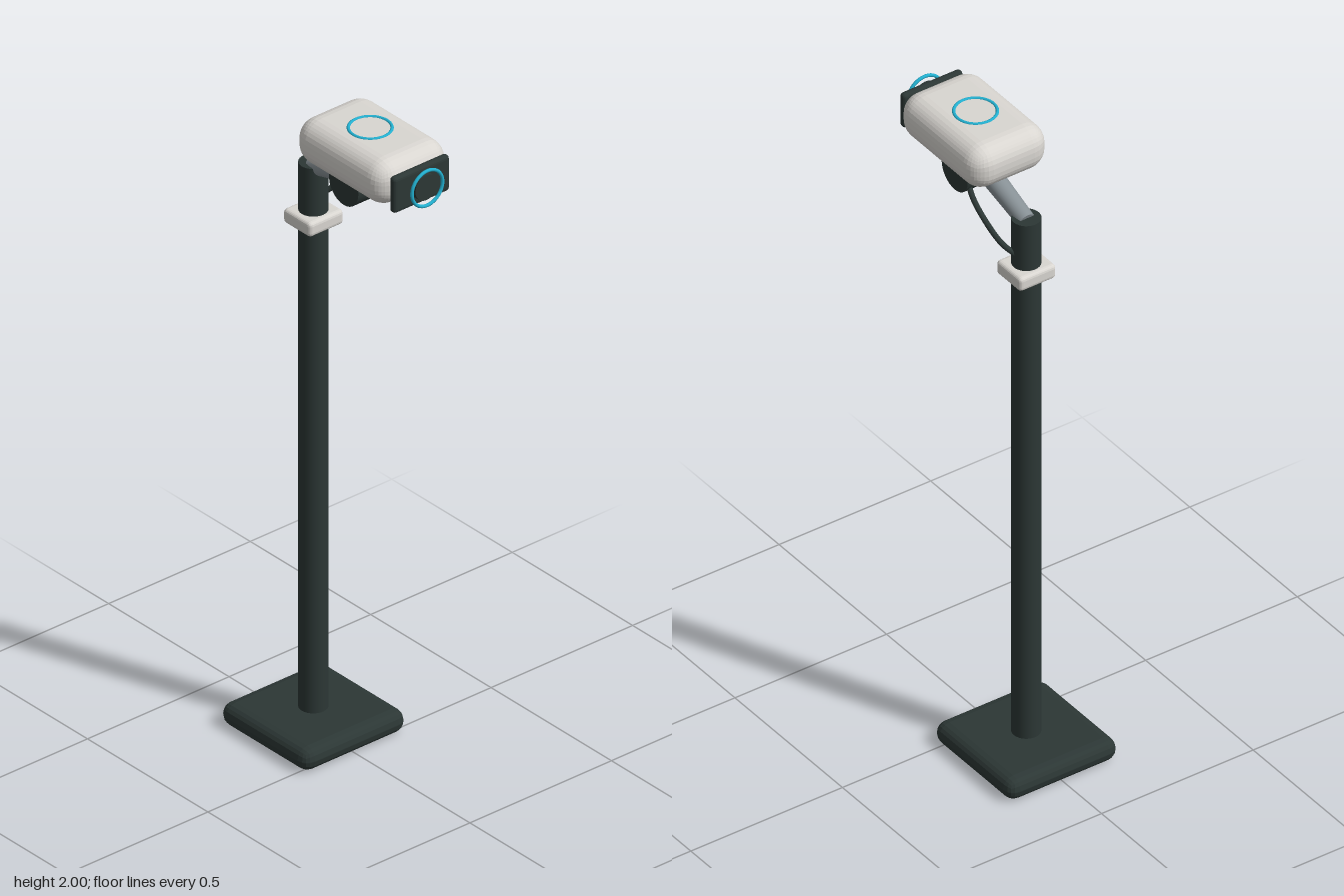
import * as THREE from 'three';
import { RoundedBoxGeometry } from 'three/addons/geometries/RoundedBoxGeometry.js';

const mat = (name, color) => {
  const m = new THREE.MeshStandardMaterial({ color });
  m.name = name;
  return m;
};

export function createModel() {
  const dark = mat('dark casing', 0x2c3735);
  const pale = mat('pale shell', 0xd9d6d1);
  const steel = mat('grey metal', 0x889196);
  const cyan = mat('cyan accent', 0x22b0d0);

  const model = new THREE.Group();
  model.name = 'cameraPost';
  const add = (name, geometry, material, x = 0, y = 0, z = 0) => {
    const mesh = new THREE.Mesh(geometry, material);
    mesh.name = name;
    mesh.position.set(x, y, z);
    model.add(mesh);
    return mesh;
  };
  // Box with faceted rounded edges
  const softBox = (w, h, d, segments, radius) => {
    const g = new RoundedBoxGeometry(w, h, d, segments, radius);
    g.computeVertexNormals();
    return g;
  };
  // Round bar between two points
  const bar = (name, a, b, ra, rb, material) => {
    const dir = b.clone().sub(a);
    const mid = a.clone().add(b).multiplyScalar(0.5);
    const mesh = add(name, new THREE.CylinderGeometry(rb, ra, dir.length(), 28), material, mid.x, mid.y, mid.z);
    mesh.quaternion.setFromUnitVectors(new THREE.Vector3(0, 1, 0), dir.normalize());
    return mesh;
  };
  const v = (x, y, z) => new THREE.Vector3(x, y, z);
  const poleZ = -0.15;

  // Base, pole and collar
  add('base', softBox(0.364, 0.07, 0.364, 2, 0.034), dark, 0, 0.037, poleZ);
  bar('pole', v(0, 0.04, poleZ), v(0, 1.782, poleZ), 0.041, 0.041, dark);
  add('collar', softBox(0.122, 0.045, 0.114, 2, 0.012), pale, 0, 1.61, poleZ);

  // Arm and tilt hinge
  bar('arm', v(0, 1.77, -0.151), v(0, 1.842, 0.07), 0.026, 0.033, steel);
  bar('hinge', v(-0.08, 1.838, 0.07), v(0.08, 1.838, 0.07), 0.061, 0.061, dark);

  // Cable looping from the pole to the hinge
  const path = new THREE.CatmullRomCurve3([
    v(0.032, 1.67, -0.15), v(0.058, 1.7, -0.12), v(0.073, 1.75, -0.06), v(0.068, 1.795, 0.01), v(0.045, 1.83, 0.06),
  ]);
  add('cable', new THREE.TubeGeometry(path, 28, 0.008, 10), dark);

  // Camera head with a ring on its roof
  add('head', softBox(0.256, 0.138, 0.376, 4, 0.06), pale, 0, 1.927, 0.093);
  add('roofRing', new THREE.TorusGeometry(0.059, 0.005, 10, 48), cyan, 0, 1.995, 0.086).rotation.x = -Math.PI / 2;

  // Front plate, lens barrel and lens ring
  const lensY = 1.915;
  add('frontPlate', softBox(0.198, 0.112, 0.024, 2, 0.011), dark, 0, lensY, 0.291);
  bar('lens', v(0, lensY, 0.29), v(0, lensY, 0.32), 0.039, 0.039, dark);
  add('lensRing', new THREE.TorusGeometry(0.054, 0.005, 10, 48), cyan, 0, lensY, 0.323);

  return model;
}
